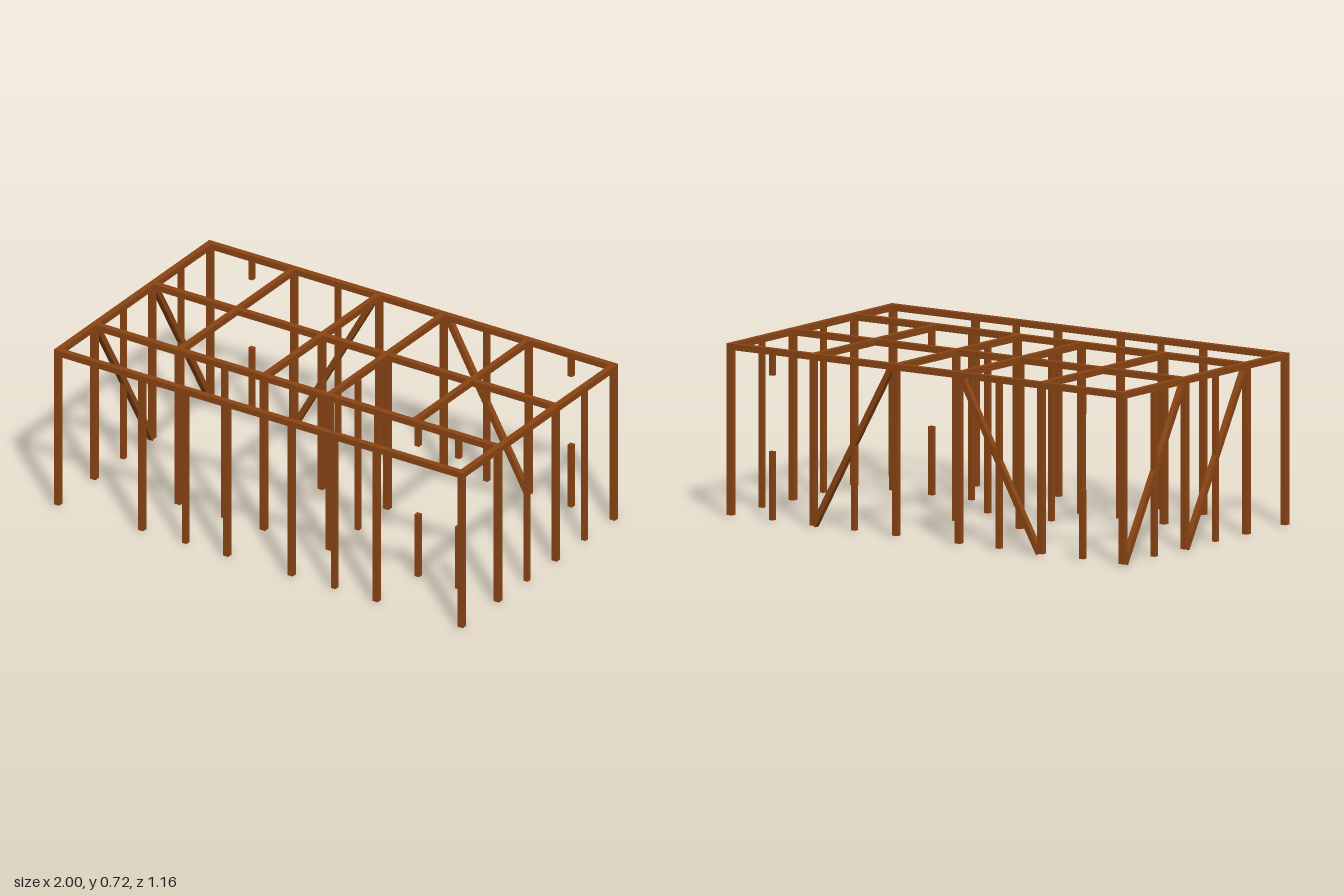
import * as THREE from 'three';

export function createModel() {
  const model = new THREE.Group();
  model.name = 'timberFrame';
  const wood = new THREE.MeshStandardMaterial({ color: 0x8b4513 });
  wood.name = 'brownTimber';

  const W = 0.026, THIN = 0.021;       // post and stud widths
  const TOP = 0.696, BASE = 0.01;      // post ends
  const X = 0.985, BACK = -0.567, MID = -0.14, INNER = 0.29, FRONT = 0.565;

  function box(name, w, h, d, x, y, z) {
    const mesh = new THREE.Mesh(new THREE.BoxGeometry(w, h, d), wood);
    mesh.name = name;
    mesh.position.set(x, y, z);
    model.add(mesh);
    return mesh;
  }
  const upright = (name, x, z, w, y0 = BASE, y1 = TOP) =>
    box(name, w, y1 - y0, w, x, (y0 + y1) / 2, z);
  const post = (x, z) => upright('post', x, z, W);
  const stud = (x, z) => upright('stud', x, z, THIN);

  // Short studs below and above a window opening
  function windowStuds(x, z) {
    upright('windowLowerStud', x, z, THIN, BASE, 0.295);
    upright('windowUpperStud', x, z, THIN, 0.61, TOP);
  }

  // Diagonal timber between two points
  function brace(a, b) {
    const from = new THREE.Vector3(...a), to = new THREE.Vector3(...b);
    const dir = to.clone().sub(from);
    const mid = from.clone().add(to).multiplyScalar(0.5);
    const mesh = box('brace', 0.024, dir.length(), 0.024, mid.x, mid.y, mid.z);
    mesh.quaternion.setFromUnitVectors(new THREE.Vector3(0, 1, 0), dir.normalize());
  }

  // Top beams
  const beamY = 0.709;
  for (const z of [BACK, MID, INNER, FRONT]) box('longBeam', 2 * X, W, W, 0, beamY, z);
  for (const x of [-X, X]) box('sideBeam', W, W, FRONT - BACK + W, x, beamY, (FRONT + BACK) / 2);
  for (const x of [-0.575, -0.16, 0.155, 0.57])
    box('crossBeam', 0.024, W, INNER - BACK, x, beamY, (INNER + BACK) / 2);

  // Side walls
  for (const x of [-X, X]) {
    for (const z of [BACK, MID + 0.005, INNER + 0.005, FRONT]) post(x, z);
    for (const z of [-0.35, 0.08]) stud(x, z);
  }

  // Front and back rows
  for (const z of [BACK, FRONT]) {
    for (const x of [-0.575, -0.16, 0.155, 0.57]) post(x, z);
    for (const x of [-0.362, 0.365]) stud(x, z);
  }
  windowStuds(-0.782, BACK);
  windowStuds(0.777, BACK);

  // Inner row behind the porch
  for (const x of [-0.575, -0.16, 0.16]) post(x, INNER);
  stud(-0.352, INNER);
  stud(0.393, INNER);
  windowStuds(0.592, INNER);
  windowStuds(0.79, INNER);

  // Hall walls
  for (const x of [-0.16, 0.16]) {
    post(x, MID);
    stud(x, 0.08);
  }

  // Braces on the back wall and one side wall
  brace([-0.565, 0.01, BACK], [-0.175, 0.7, BACK]);
  brace([0.565, 0.01, BACK], [0.18, 0.7, BACK]);
  brace([-X, 0.01, -0.13], [-X, 0.7, 0.28]);
  brace([-X, 0.01, -0.56], [-X, 0.7, -0.15]);

  return model;
}
